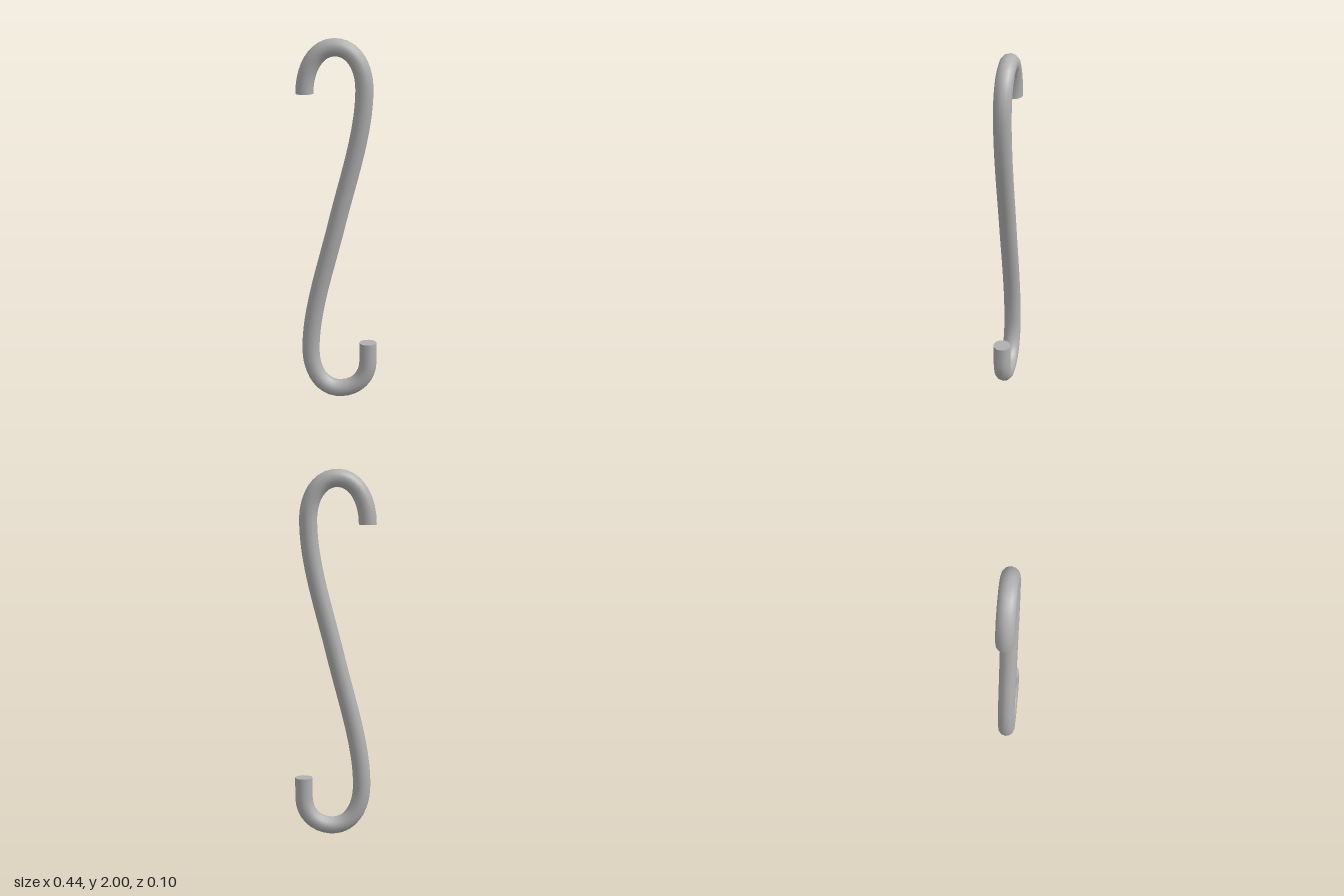
import * as THREE from 'three';

const RADIUS = 0.048;
const SIDES = 12;

export function createModel() {
  const group = new THREE.Group();
  group.name = 'sHook';
  const steel = new THREE.MeshStandardMaterial({ color: 0xb0b0b0 });
  steel.name = 'grey steel';

  // Centre line: each row is two control points and an end point
  const start = [-0.173, 1.705];
  const spans = [
    [-0.173, 1.84, -0.11, 1.952, -0.01, 1.952], // upper hook, outer half
    [0.08, 1.952, 0.145, 1.86, 0.145, 1.73], // upper hook, inner half
    [0.145, 1.5, 0.06, 1.25, 0, 1], // upper shank
    [-0.06, 0.75, -0.145, 0.5, -0.145, 0.275], // lower shank
    [-0.145, 0.14, -0.08, 0.048, 0.012, 0.048], // lower hook, inner half
    [0.11, 0.048, 0.173, 0.12, 0.173, 0.21], // lower hook, outer half
    [0.173, 0.25, 0.173, 0.28, 0.173, 0.32], // straight tip
  ];
  const path = new THREE.CurvePath();
  let from = new THREE.Vector3(...start, 0);
  for (const [ax, ay, bx, by, cx, cy] of spans) {
    const to = new THREE.Vector3(cx, cy, 0);
    path.add(new THREE.CubicBezierCurve3(
      from, new THREE.Vector3(ax, ay, 0), new THREE.Vector3(bx, by, 0), to));
    from = to;
  }

  // Bent rod
  const rod = new THREE.Mesh(new THREE.TubeGeometry(path, 96, RADIUS, SIDES, false), steel);
  rod.name = 'bentRod';
  group.add(rod);

  // Flat ends of the rod
  const addCap = (name, [x, y], turn) => {
    const cap = new THREE.Mesh(new THREE.CircleGeometry(RADIUS, SIDES), steel);
    cap.name = name;
    cap.position.set(x, y, 0);
    cap.rotation.x = turn;
    group.add(cap);
  };
  addCap('upperEnd', start, Math.PI / 2);
  addCap('lowerEnd', [0.173, 0.32], -Math.PI / 2);

  return group;
}
